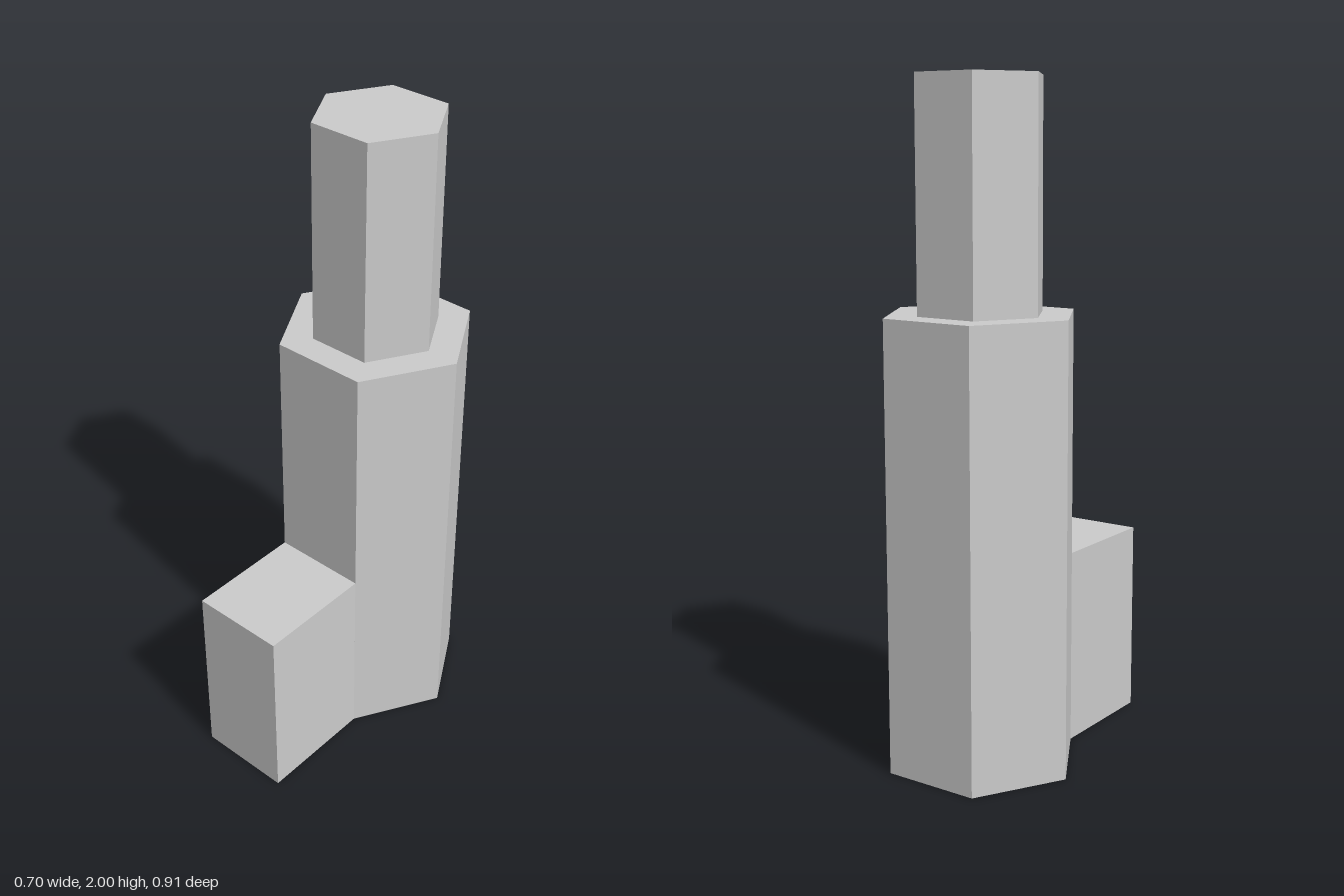
import * as THREE from 'three';

const material = new THREE.MeshStandardMaterial({ color: 0xcccccc, flatShading: true });

const AXIS_X = 0.091, AXIS_Z = -0.161; // shared axis of the tower
const RADIUS = 0.296, TOP_RADIUS = 0.195;
const SHOULDER = 1.335, HEIGHT = 2;
const WING_LENGTH = 0.366, WING_HEIGHT = 0.595;

// Six-sided prism standing between two heights, corners facing +z and -z
function hexPrism(name, radius, y0, y1) {
  const mesh = new THREE.Mesh(new THREE.CylinderGeometry(radius, radius, y1 - y0, 6), material);
  mesh.name = name;
  mesh.position.y = (y0 + y1) / 2;
  return mesh;
}

export function createModel() {
  const model = new THREE.Group();
  model.name = 'hexagonalTower';
  model.position.set(AXIS_X, 0, AXIS_Z);

  // Main shaft and the narrower shaft on top
  model.add(hexPrism('lowerTower', RADIUS, 0, SHOULDER));
  model.add(hexPrism('upperTower', TOP_RADIUS, SHOULDER, HEIGHT));

  // Low wing, as wide as one side of the shaft and flush with it
  const apothem = RADIUS * Math.cos(Math.PI / 6);
  const wing = new THREE.Mesh(new THREE.BoxGeometry(RADIUS, WING_HEIGHT, WING_LENGTH), material);
  wing.name = 'sideWing';
  wing.position.set(0, WING_HEIGHT / 2, apothem + WING_LENGTH / 2);
  const wingPivot = new THREE.Group();
  wingPivot.name = 'sideWingPivot';
  wingPivot.rotation.y = -Math.PI / 6;
  wingPivot.add(wing);
  model.add(wingPivot);

  const root = new THREE.Group();
  root.name = 'building';
  root.add(model);
  return root;
}
